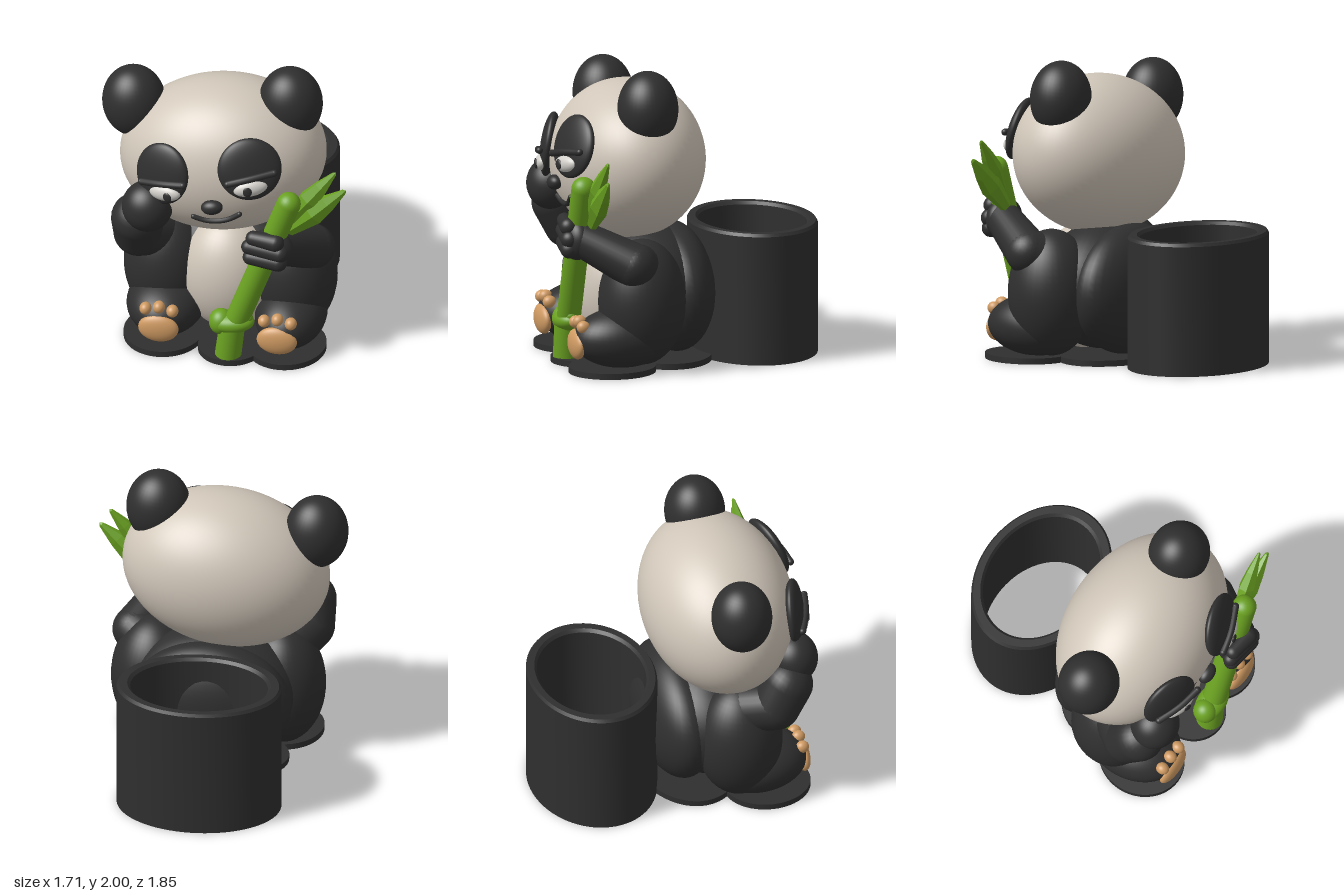
import * as THREE from 'three';
import { toCreasedNormals } from 'three/addons/utils/BufferGeometryUtils.js';

const V = (x, y, z) => new THREE.Vector3(x, y, z);

export function createModel() {
  const root = new THREE.Group();
  root.name = 'pandaWithPot';
  const material = (name, color) => {
    const m = new THREE.MeshStandardMaterial({ color });
    m.name = name;
    return m;
  };
  const dark = material('charcoal', 0x2f2f2f);
  const cream = material('cream', 0xd0c6b9);
  const green = material('bambooGreen', 0x6aa121);
  const tan = material('padTan', 0xcf9a62);
  const white = material('eyeWhite', 0xd2cfca);

  const add = (name, geo, mat, parent = root) => {
    const mesh = new THREE.Mesh(geo, mat);
    mesh.name = name;
    parent.add(mesh);
    return mesh;
  };
  const ball = (name, mat, [x, y, z], [rx, ry, rz], roll = 0) => {
    const m = add(name, new THREE.SphereGeometry(1, 40, 28), mat);
    m.position.set(x, y, z);
    m.scale.set(rx, ry, rz);
    m.rotation.z = roll;
    return m;
  };
  // Tapered limb with rounded ends between two points
  const limb = (name, mat, a, b, ra, rb) => {
    const len = a.distanceTo(b);
    const pts = [];
    for (let i = 0; i <= 8; i++) {
      const t = -Math.PI / 2 + i * Math.PI / 16;
      pts.push(new THREE.Vector2(Math.cos(t) * ra, Math.sin(t) * ra));
    }
    for (let i = 0; i <= 8; i++) {
      const t = i * Math.PI / 16;
      pts.push(new THREE.Vector2(Math.cos(t) * rb, len + Math.sin(t) * rb));
    }
    const m = add(name, new THREE.LatheGeometry(pts, 28), mat);
    m.position.copy(a);
    m.quaternion.setFromUnitVectors(V(0, 1, 0), b.clone().sub(a).normalize());
    return m;
  };

  // Body: torso, back bulge, side lobes and pale belly
  ball('torso', dark, [0.01, 0.48, 0.22], [0.56, 0.43, 0.38]);
  ball('back', dark, [0.02, 0.46, 0.04], [0.54, 0.43, 0.25]);
  ball('rightFlank', dark, [-0.415, 0.46, 0.37], [0.285, 0.42, 0.29]);
  ball('leftFlank', dark, [0.44, 0.46, 0.37], [0.285, 0.42, 0.29]);
  ball('belly', cream, [0.01, 0.455, 0.4], [0.33, 0.42, 0.3]);

  // Flat base discs under body, feet and bamboo
  for (const [x, z, rx, rz] of [[0.01, 0.13, 0.5, 0.34], [-0.395, 0.57, 0.265, 0.29],
    [0.425, 0.57, 0.265, 0.29], [0.07, 0.66, 0.215, 0.22], [0.01, 0.4, 0.4, 0.25]]) {
    const disc = add('baseDisc', new THREE.CylinderGeometry(1, 1, 0.04, 48), dark);
    disc.position.set(x, 0.02, z);
    disc.scale.set(rx, 1, rz);
  }

  // Feet with pads and toes
  for (const [side, x, px, r] of [['right', -0.39, -0.385, 0.262], ['left', 0.445, 0.41, 0.235]]) {
    ball(side + 'Foot', dark, [x, 0.23, 0.5], [r, 0.2, 0.34]);
    ball(side + 'FootPad', tan, [px, 0.195, 0.81], [0.135, 0.1, 0.05]);
    [-0.09, 0, 0.09].forEach((dx, i) =>
      ball(side + 'ToePad', tan, [px + dx, i === 1 ? 0.345 : 0.325, 0.79], [0.04, 0.042, 0.045]));
  }

  // Head, rolled towards one side
  const hc = V(-0.045, 1.325, 0.33), hr = V(0.69, 0.53, 0.5), roll = 0.157;
  const head = add('head', new THREE.SphereGeometry(1, 64, 48), cream);
  head.position.copy(hc);
  head.scale.copy(hr);
  head.rotation.z = roll;
  ball('rightEar', dark, [-0.647, 1.635, 0.32], [0.21, 0.25, 0.2], 0.05);
  ball('leftEar', dark, [0.405, 1.75, 0.32], [0.212, 0.25, 0.2], 0.05);

  // Point and outward normal on the front of the head at a given x, y
  const onHead = (x, y, lift) => {
    const p = V(x - hc.x, y - hc.y, 0).applyAxisAngle(V(0, 0, 1), -roll);
    p.z = hr.z * Math.sqrt(Math.max(0, 1 - (p.x / hr.x) ** 2 - (p.y / hr.y) ** 2));
    const n = p.clone().divide(hr).divide(hr).normalize();
    p.addScaledVector(n, lift).applyAxisAngle(V(0, 0, 1), roll).add(hc);
    return { p, n: n.applyAxisAngle(V(0, 0, 1), roll) };
  };
  const feature = (name, mat, x, y, lift, size, spin = roll) => {
    const { p, n } = onHead(x, y, lift);
    const m = ball(name, mat, p.toArray(), size);
    m.lookAt(p.clone().add(n));
    m.rotateZ(spin);
  };
  const strip = (name, pts, lift, r) => {
    const path = pts.map(([x, y]) => onHead(x, y, lift).p);
    add(name, new THREE.TubeGeometry(new THREE.CatmullRomCurve3(path), 24, r, 12), dark);
    for (const p of [path[0], path[path.length - 1]]) ball(name + 'End', dark, p.toArray(), [r, r, r]);
  };

  // Face
  feature('rightEyePatch', dark, -0.365, 1.375, 0, [0.195, 0.22, 0.06], -0.25);
  feature('leftEyePatch', dark, 0.22, 1.485, 0, [0.212, 0.212, 0.06], 0.3);
  feature('rightEye', white, -0.325, 1.267, 0.04, [0.115, 0.058, 0.05]);
  feature('leftEye', white, 0.225, 1.372, 0.04, [0.115, 0.058, 0.05]);
  feature('rightPupil', dark, -0.29, 1.267, 0.086, [0.03, 0.035, 0.012]);
  feature('leftPupil', dark, 0.203, 1.367, 0.088, [0.03, 0.035, 0.012]);
  strip('rightEyelid', [[-0.47, 1.305], [-0.33, 1.34], [-0.195, 1.365]], 0.07, 0.023);
  strip('leftEyelid', [[0.085, 1.41], [0.21, 1.44], [0.355, 1.465]], 0.07, 0.023);
  feature('nose', dark, -0.022, 1.2, 0.02, [0.073, 0.05, 0.05]);
  strip('mouth', [[-0.155, 1.075], [-0.08, 1.052], [0, 1.053], [0.08, 1.08], [0.15, 1.13]], 0.008, 0.018);

  // Raised right arm
  limb('rightUpperArm', dark, V(-0.42, 0.7, 0.38), V(-0.565, 0.785, 0.58), 0.17, 0.165);
  limb('rightForearm', dark, V(-0.565, 0.785, 0.58), V(-0.56, 0.94, 0.66), 0.165, 0.17);
  ball('rightPaw', dark, [-0.475, 1.085, 0.73], [0.168, 0.175, 0.16]);

  // Left arm holding the bamboo
  limb('leftUpperArm', dark, V(0.45, 0.68, 0.36), V(0.58, 0.735, 0.46), 0.16, 0.15);
  limb('leftForearm', dark, V(0.58, 0.735, 0.46), V(0.41, 0.9, 0.77), 0.15, 0.12);
  ball('leftHand', dark, [0.37, 0.9, 0.8], [0.155, 0.145, 0.1]);
  for (const [x1, y1, x2, y2] of [[0.26, 1.0, 0.41, 0.99], [0.23, 0.93, 0.44, 0.91], [0.24, 0.85, 0.43, 0.84]])
    limb('leftFinger', dark, V(x1, y1, 0.85), V(x2, y2, 0.865), 0.05, 0.06);

  // Bamboo stalk with a swollen joint
  limb('bambooStalk', green, V(0.13, 0.29, 0.785), V(0.485, 1.255, 0.785), 0.08, 0.08);
  const foot = add('bambooFoot', new THREE.CylinderGeometry(0.085, 0.088, 0.28, 28), green);
  foot.position.set(0.095, 0.175, 0.785);
  foot.rotation.z = -0.12;
  ball('bambooJoint', green, [0.105, 0.29, 0.785], [0.15, 0.07, 0.095], 0.12);
  ball('bambooBud', green, [0.03, 0.285, 0.785], [0.08, 0.09, 0.08]);
  limb('bambooTwig', green, V(0.13, 0.28, 0.79), V(0.21, 0.34, 0.79), 0.06, 0.035);

  // Faceted pointed leaves
  const leafProfile = [[0, 0], [0.045, 0.02], [0.085, 0.45], [0.06, 0.7], [0.018, 0.97], [0, 1]];
  for (const [a, b, w] of [[V(0.46, 1.08, 0.74), V(0.785, 1.485, 0.7), 0.85],
    [V(0.46, 1.0, 0.72), V(0.855, 1.365, 0.72), 1]]) {
    const len = a.distanceTo(b);
    const pts = leafProfile.map(([r, h]) => new THREE.Vector2(r * w, h * len));
    const geo = new THREE.LatheGeometry(pts, 6).scale(1, 1, 0.75).toNonIndexed();
    geo.computeVertexNormals();
    const leaf = add('bambooLeaf', geo, green);
    leaf.position.copy(a);
    leaf.quaternion.setFromUnitVectors(V(0, 1, 0), b.clone().sub(a).normalize());
  }

  // Oval open pot behind the back
  const wall = [[0.455, 0], [0.545, 0], [0.545, 0.865], [0.53, 0.885], [0.475, 0.885],
    [0.455, 0.865], [0.455, 0]].map(([r, y]) => new THREE.Vector2(r, y));
  const pot = add('pot', toCreasedNormals(new THREE.LatheGeometry(wall, 72), 0.5), dark);
  pot.position.set(0.015, 0, -0.51);
  pot.scale.z = 0.42 / 0.545;

  return root;
}
